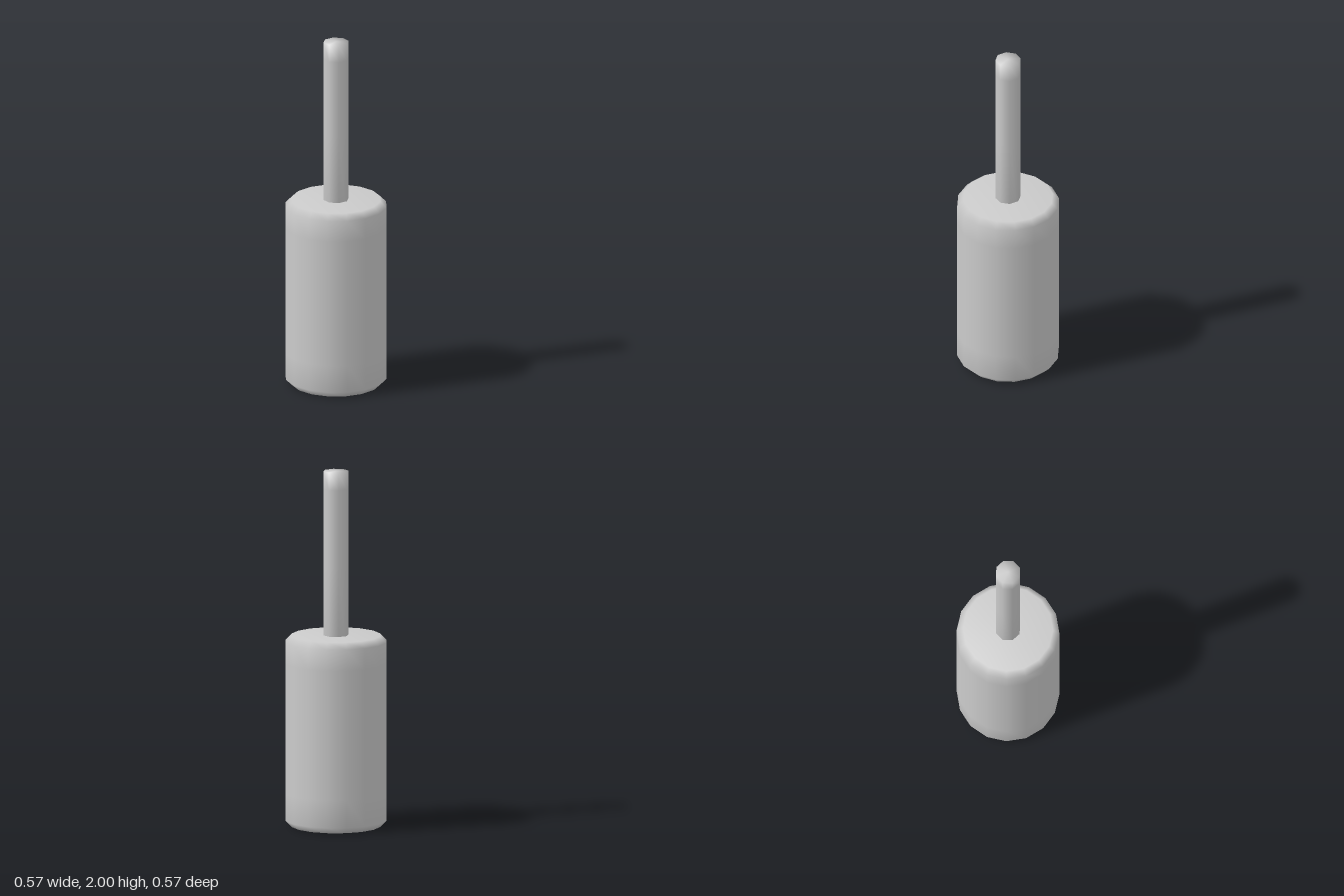
import * as THREE from 'three';

// Smooth turned solid from a bottom-to-top list of [radius, height]
function turned(name, profile, sides) {
  const points = profile.map(([r, y]) => new THREE.Vector2(r, y));
  const mesh = new THREE.Mesh(
    new THREE.LatheGeometry(points, sides),
    new THREE.MeshStandardMaterial({ color: 0xcccccc })
  );
  mesh.name = name;
  return mesh;
}

export function createModel() {
  const group = new THREE.Group();
  group.name = 'stickGrenade';

  // Sixteen-sided canister with bevelled rims
  group.add(turned('canister', [
    [0, 0], [0.25, 0], [0.285, 0.035], [0.285, 0.19], [0.285, 0.54],
    [0.285, 0.92], [0.285, 1.04], [0.25, 1.075], [0, 1.075],
  ], 16));

  // Eight-sided handle, set a little way into the canister
  group.add(turned('handle', [
    [0, 0.93], [0.071, 0.93], [0.071, 1.46], [0.071, 1.9], [0.071, 2], [0, 2],
  ], 8));

  return group;
}
